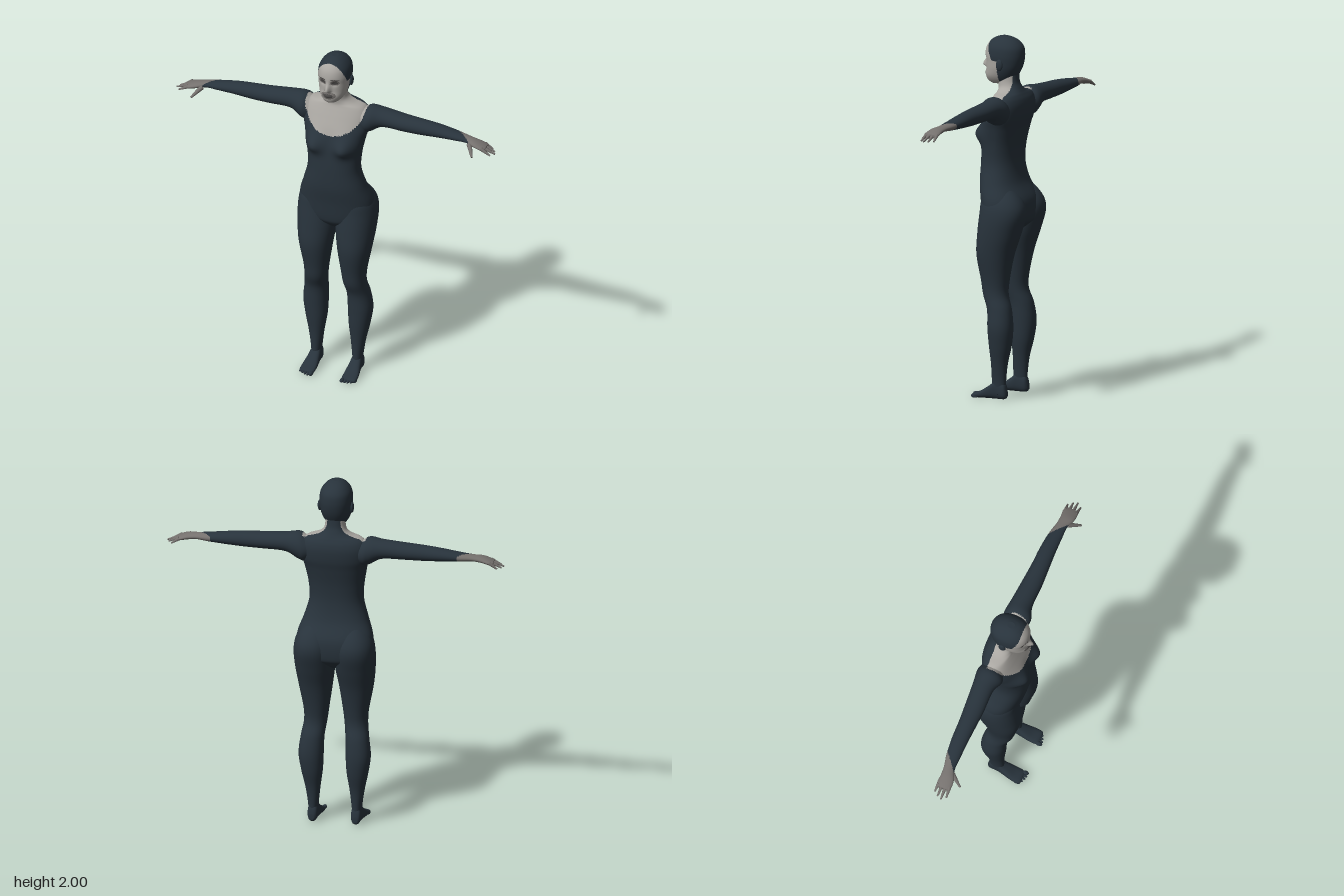
import * as THREE from 'three';

const paint = (name, color) => {
  const m = new THREE.MeshStandardMaterial({ color });
  m.name = name;
  return m;
};
const suit = paint('suit', 0x28333c);
const skin = paint('skin', 0xaaa7a2);
const shade = paint('faceShade', 0x4a4847);
const dimSkin = paint('dimSkin', 0x75716e);
const materials = [suit, skin, shade, dimSkin];

// Smooth interpolation through the key sections, k steps per interval
function resample(keys, k) {
  const rows = [], last = keys.length - 1;
  const at = i => keys[Math.min(Math.max(i, 0), last)];
  for (let i = 0; i < last; i++) {
    for (let s = 0; s < k + (i === last - 1 ? 1 : 0); s++) {
      const u = s / k;
      rows.push(keys[i].map((b, c) => {
        const a = at(i - 1)[c], d = at(i + 1)[c], e = at(i + 2)[c];
        return b + 0.5 * u * (d - a + u * (2 * a - 5 * b + 4 * d - e + u * (3 * (b - d) + e - a)));
      }));
    }
  }
  return rows;
}

// Closed loft of ellipse-like sections [t, a0, a1, b0, b1];
// place() turns (t, a, b) into a point, colourOf() picks a material per face
function loft(name, keys, place, { n = 48, k = 6, power = 1, warp, colourOf = () => 0 } = {}) {
  const rows = resample(keys, k), pts = [], faces = [];
  const bend = v => Math.sign(v) * Math.abs(v) ** power;
  const add = (t, a, b) => {
    const p = place(t, a, b);
    if (warp) warp(p);
    pts.push(p);
  };
  rows.forEach(([t, a0, a1, b0, b1]) => {
    for (let j = 0; j < n; j++) {
      const w = j / n * Math.PI * 2;
      add(t, (a0 + a1) / 2 + (a1 - a0) / 2 * bend(Math.cos(w)),
        (b0 + b1) / 2 + (b1 - b0) / 2 * bend(Math.sin(w)));
    }
  });
  const end = rows.length - 1, base = pts.length;
  for (const r of [rows[0], rows[end]]) add(r[0], (r[1] + r[2]) / 2, (r[3] + r[4]) / 2);
  for (let j = 0; j < n; j++) {
    const q = (j + 1) % n;
    for (let i = 0; i < end; i++) {
      const a = i * n + j, b = i * n + q;
      faces.push([a, b, b + n], [a, b + n, a + n]);
    }
    faces.push([base, q, j], [base + 1, end * n + j, end * n + q]);
  }

  // Turn all faces outward whichever axis or mirror was used
  const middle = pts[base].clone().add(pts[base + 1]).multiplyScalar(0.5);
  const rel = pts.map(p => p.clone().sub(middle));
  let volume = 0;
  for (const [a, b, c] of faces) volume += rel[a].dot(new THREE.Vector3().crossVectors(rel[b], rel[c]));
  if (volume < 0) faces.forEach(f => f.reverse());

  // One geometry group per colour
  const sets = materials.map(() => []);
  for (const f of faces) {
    const c = new THREE.Vector3();
    f.forEach(i => c.addScaledVector(pts[i], 1 / 3));
    sets[colourOf(c)].push(...f);
  }
  const geo = new THREE.BufferGeometry().setFromPoints(pts);
  geo.setIndex(sets.flat());
  let start = 0;
  sets.forEach((s, i) => {
    if (s.length) geo.addGroup(start, s.length, i);
    start += s.length;
  });
  geo.computeVertexNormals();
  const mesh = new THREE.Mesh(geo, materials);
  mesh.name = name;
  return mesh;
}

function ball(name, material, pos, scale) {
  const m = new THREE.Mesh(new THREE.SphereGeometry(1, 16, 12), material);
  m.name = name;
  m.position.set(...pos);
  m.scale.set(...scale);
  return m;
}

// Tapered finger between two points
function finger(name, from, to, r) {
  const a = new THREE.Vector3(...from), dir = new THREE.Vector3(...to).sub(a);
  const geo = new THREE.CylinderGeometry(r * 0.4, r, dir.length(), 8);
  const m = new THREE.Mesh(geo, dimSkin);
  m.name = name;
  m.position.copy(a).addScaledVector(dir, 0.5);
  m.quaternion.setFromUnitVectors(new THREE.Vector3(0, 1, 0), dir.normalize());
  return m;
}

// Scooped neckline, open sides of the neck, bare hands
function bodyColour(p) {
  const x = Math.abs(p.x);
  if (x > 0.5) return x > 0.76 + 1.2 * p.z ? 3 : 0;
  if (p.z < -0.05 || x > 0.178) return 0;
  if (p.y > 1.69) return 1;
  return (x / 0.178) ** 2 + ((p.y - 1.69) / 0.16) ** 2 < 1 ? 1 : 0;
}

// Hood edge, eyes with darker sockets, lips with darker surround
function headColour({ x, y, z }) {
  const ax = Math.abs(x);
  const inside = (cx, cy, rx, ry) => ((ax - cx) / rx) ** 2 + ((y - cy) / ry) ** 2 < 1;
  if (z < 0.025 || (y > 1.87 && !inside(0, 1.87, 0.084, 0.108))) return 0;
  if (z < 0.06) return 1;
  const brow = ax > 0.016 && ax < 0.058 && Math.abs(y - 1.896 + ax * 0.05) < 0.0035;
  if (brow || inside(0.036, 1.872, 0.017, 0.008) || inside(0, 1.795, 0.028, 0.011)) return 2;
  return inside(0.036, 1.875, 0.024, 0.016) || inside(0, 1.795, 0.042, 0.022) ? 3 : 1;
}

// Nose, eye sockets and lips
function faceRelief(p) {
  if (p.z < 0.05) return;
  const g = (v, c, s) => Math.exp(-(((v - c) / s) ** 2));
  p.z += 0.032 * g(p.x, 0, 0.014) * g(p.y, 1.83, p.y > 1.83 ? 0.035 : 0.011);
  p.z -= 0.009 * g(Math.abs(p.x), 0.034, 0.018) * g(p.y, 1.872, 0.016);
  p.z += 0.008 * g(p.x, 0, 0.025) * g(p.y, 1.795, 0.012);
}

function bust(p) {
  if (p.z < 0) return;
  const s = p.y > 1.46 ? 0.06 : 0.045;
  p.z += 0.045 * Math.exp(-(((Math.abs(p.x) - 0.092) / 0.055) ** 2) - ((p.y - 1.46) / s) ** 2);
}

export function createModel() {
  const model = new THREE.Group();
  model.name = 'figure';
  const wide = ([y, w, z0, z1]) => [y, -w, w, z0, z1];
  const upright = (t, a, b) => new THREE.Vector3(a, t, b);

  // Torso and neck
  model.add(loft('torso', [
    [0.92, 0.04, -0.06, 0.05], [0.96, 0.14, -0.115, 0.09], [1.0, 0.205, -0.142, 0.105],
    [1.1, 0.21, -0.142, 0.118], [1.2, 0.177, -0.094, 0.133], [1.3, 0.15, -0.075, 0.134],
    [1.4, 0.154, -0.08, 0.128], [1.5, 0.172, -0.1, 0.115], [1.56, 0.188, -0.115, 0.1],
    [1.62, 0.188, -0.12, 0.075], [1.66, 0.175, -0.113, 0.057], [1.685, 0.15, -0.1, 0.046],
    [1.7, 0.1, -0.09, 0.043], [1.72, 0.068, -0.078, 0.045], [1.75, 0.056, -0.065, 0.05],
    [1.8, 0.054, -0.06, 0.05],
  ].map(wide), upright, { n: 96, k: 7, power: 0.88, warp: bust, colourOf: bodyColour }));

  // Head with hood
  model.add(loft('head', [
    [1.735, 0.028, 0.03, 0.095], [1.75, 0.05, -0.03, 0.118], [1.78, 0.07, -0.055, 0.128],
    [1.82, 0.083, -0.077, 0.123], [1.86, 0.088, -0.09, 0.124], [1.9, 0.09, -0.095, 0.128],
    [1.94, 0.084, -0.09, 0.12], [1.97, 0.066, -0.068, 0.1], [1.99, 0.042, -0.035, 0.072],
    [2.0, 0.018, 0, 0.04],
  ].map(wide), upright, { n: 128, k: 10, power: 0.92, warp: faceRelief, colourOf: headColour }));

  for (const [side, s] of [['left', 1], ['right', -1]]) {
    model.add(ball(side + 'Ear', suit, [s * 0.09, 1.85, 0.005], [0.011, 0.032, 0.02]));

    // Leg, thigh and buttock
    model.add(loft(side + 'Leg', [
      [0.03, 0.098, 0.148, -0.05, 0.03], [0.1, 0.093, 0.15, -0.052, 0.03],
      [0.2, 0.082, 0.165, -0.062, 0.032], [0.3, 0.068, 0.186, -0.085, 0.04],
      [0.4, 0.063, 0.2, -0.095, 0.045], [0.5, 0.06, 0.189, -0.083, 0.052],
      [0.58, 0.05, 0.177, -0.058, 0.083], [0.66, 0.04, 0.181, -0.062, 0.097],
      [0.8, 0.02, 0.207, -0.09, 0.12], [0.92, 0.003, 0.222, -0.13, 0.113],
      [1.03, 0, 0.224, -0.16, 0.1], [1.11, 0.01, 0.203, -0.138, 0.09],
      [1.2, 0.04, 0.14, -0.06, 0.05],
    ], (t, a, b) => new THREE.Vector3(s * a, t, b), { power: 0.92 }));

    // Foot and toes
    model.add(loft(side + 'Foot', [
      [-0.06, 0.11, 0.135, 0.012, 0.045], [-0.045, 0.095, 0.147, 0.001, 0.09],
      [0, 0.091, 0.15, 0, 0.105], [0.04, 0.086, 0.157, 0, 0.075],
      [0.09, 0.081, 0.166, 0, 0.042], [0.13, 0.083, 0.166, 0, 0.026],
      [0.142, 0.092, 0.158, 0.005, 0.018],
    ], (t, a, b) => new THREE.Vector3(s * a, b, t), { n: 32, power: 0.8 }));
    for (let i = 0; i < 5; i++) {
      const r = i ? 0.008 : 0.012;
      model.add(ball(side + 'Toe', suit, [s * (0.092 + i * 0.017), r, 0.145 - i * i * 0.0015], [r, r, 0.02]));
    }

    // Shoulder, arm and palm
    model.add(loft(side + 'Arm', [
      [0.1, 1.58, 1.64, -0.07, 0.015], [0.16, 1.535, 1.677, -0.098, 0.042],
      [0.2, 1.542, 1.695, -0.1, 0.052], [0.27, 1.58, 1.688, -0.09, 0.03],
      [0.4, 1.583, 1.676, -0.08, 0.03], [0.5, 1.584, 1.67, -0.073, 0.025],
      [0.6, 1.59, 1.66, -0.07, 0.02], [0.7, 1.596, 1.645, -0.06, 0.018],
      [0.77, 1.6, 1.635, -0.045, 0.018], [0.82, 1.592, 1.628, -0.042, 0.036],
      [0.86, 1.585, 1.615, -0.045, 0.04], [0.885, 1.583, 1.604, -0.038, 0.034],
    ], (t, a, b) => new THREE.Vector3(s * t, a, b), { k: 8, colourOf: bodyColour }));

    // Fingers and thumb
    [0.91, 0.93, 0.94, 0.92].forEach((tip, i) => {
      const z = -0.034 + i * 0.021;
      model.add(finger(side + 'Finger', [s * 0.865, 1.6, z], [s * tip, 1.572, z * 1.15], 0.011));
    });
    model.add(finger(side + 'Thumb', [s * 0.79, 1.606, 0.015], [s * 0.83, 1.565, 0.077], 0.015));
  }
  return model;
}
